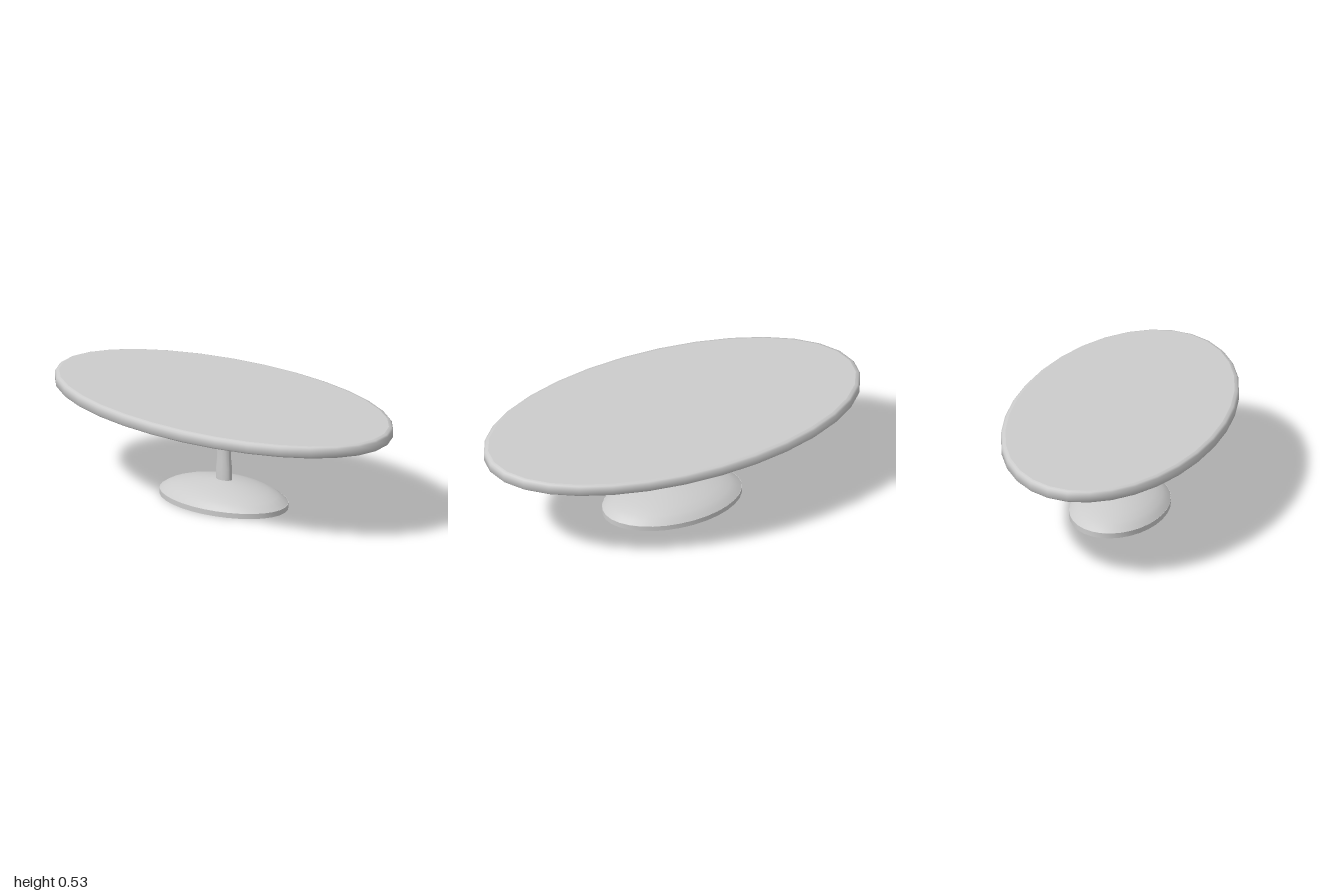
import * as THREE from 'three';
import { mergeGeometries, toCreasedNormals } from 'three/addons/utils/BufferGeometryUtils.js';

const material = new THREE.MeshStandardMaterial({ color: 0xcccccc });

// Elliptical solid from profiles of [x radius, y], bottom to top; hard edges fall between profiles.
// depth(r) gives the z radius for an x radius.
function ellipticalPart(name, profiles, depth) {
  const sections = profiles.map((profile) => {
    const points = profile.map(([r, y]) => new THREE.Vector2(r, y));
    const geometry = new THREE.LatheGeometry(points, 32);
    const pos = geometry.attributes.position;
    for (let i = 0; i < pos.count; i++) {
      const r = Math.hypot(pos.getX(i), pos.getZ(i));
      if (r > 1e-6) pos.setZ(i, pos.getZ(i) * depth(r) / r);
    }
    return toCreasedNormals(geometry, 1);
  });
  const mesh = new THREE.Mesh(mergeGeometries(sections), material);
  mesh.name = name;
  return mesh;
}

export function createModel() {
  const group = new THREE.Group();
  group.name = 'ovalPedestalTable';

  // Oval top with an even bevel all the way round
  group.add(ellipticalPart('tableTop', [
    [[0, 0.464], [0.978, 0.464]],
    [[0.978, 0.464], [0.992, 0.469], [1, 0.477], [1, 0.515], [0.992, 0.523], [0.978, 0.527]],
    [[0.978, 0.527], [0, 0.527]],
  ], (r) => Math.max(r - 0.458, 0)));

  // Pedestal shares one oval proportion
  const oval = (r) => r * 0.655;

  // Column flaring out under the top
  group.add(ellipticalPart('column', [
    [[0.046, 0.1], [0.046, 0.165], [0.041, 0.21], [0.041, 0.36], [0.053, 0.41], [0.071, 0.435], [0.094, 0.466]],
  ], oval));

  // Domed foot with a short upright rim
  group.add(ellipticalPart('base', [
    [[0, 0], [0.366, 0]],
    [[0.366, 0], [0.366, 0.026]],
    [[0.364, 0.026], [0.34, 0.043], [0.308, 0.059], [0.255, 0.077], [0.19, 0.091], [0.12, 0.102], [0.046, 0.11], [0, 0.112]],
    [[0.366, 0.026], [0.364, 0.026]],
  ], oval));

  return group;
}
